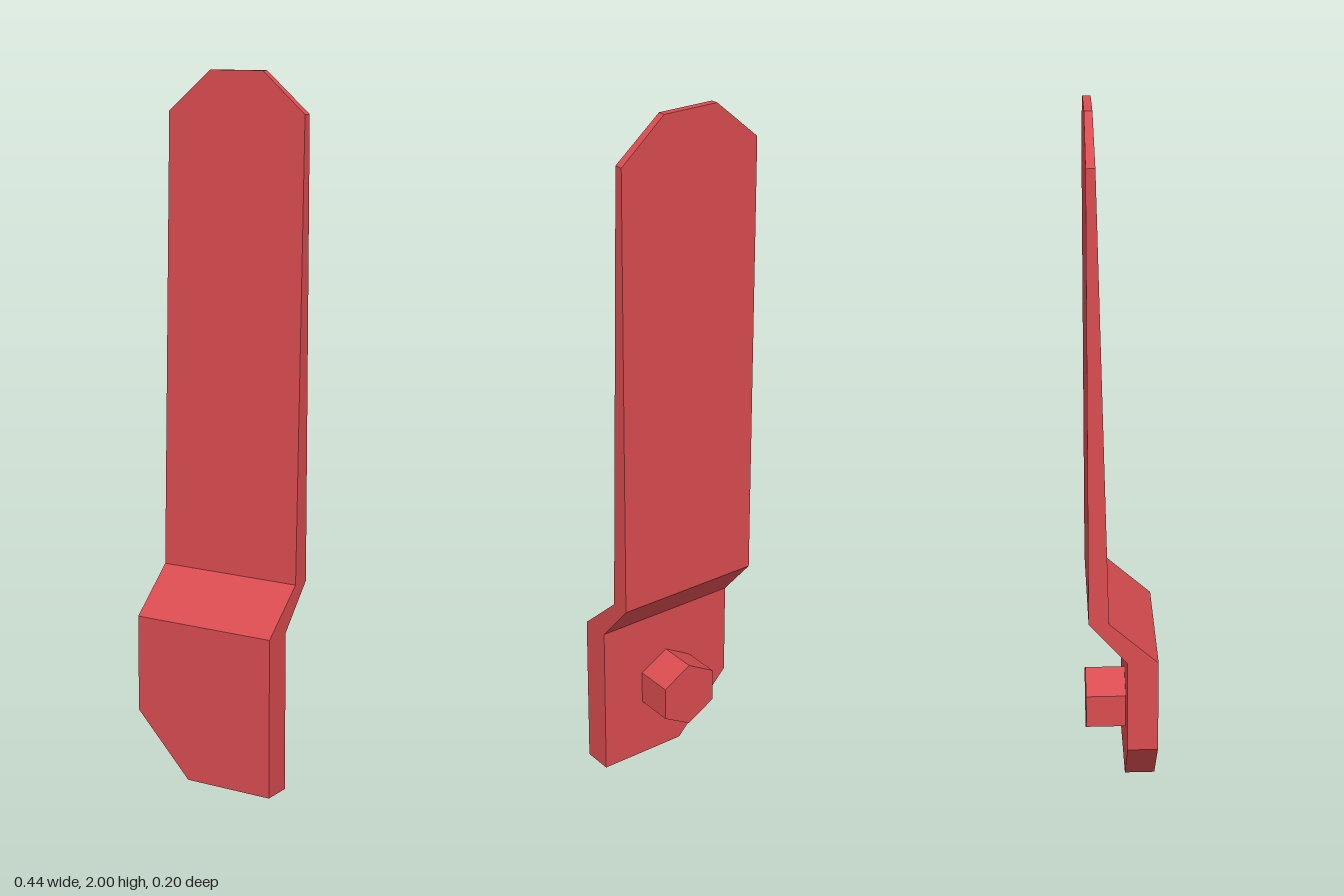
import * as THREE from 'three';

// Closed solid lofted through rectangular sections [y, left x, right x, front z, back z]
function loftSections(sections) {
  const rings = sections.map(([y, x0, x1, zf, zb]) => [
    [x0, y, zf], [x1, y, zf], [x1, y, zb], [x0, y, zb],
  ]);
  const positions = [];
  const quad = (a, b, c, d) => positions.push(...a, ...b, ...c, ...a, ...c, ...d);
  for (let i = 0; i < rings.length - 1; i++) {
    for (let k = 0; k < 4; k++) {
      const n = (k + 1) % 4;
      quad(rings[i][k], rings[i][n], rings[i + 1][n], rings[i + 1][k]);
    }
  }
  quad(...[...rings[0]].reverse());
  quad(...rings[rings.length - 1]);
  const geometry = new THREE.BufferGeometry();
  geometry.setAttribute('position', new THREE.Float32BufferAttribute(positions, 3));
  geometry.computeVertexNormals();
  return geometry;
}

export function createModel() {
  const group = new THREE.Group();
  group.name = 'crankedLever';
  const red = new THREE.MeshStandardMaterial({ color: 0xd94c50, flatShading: true });

  // Lever: base plate with one cut corner, cranked bend, tapering blade with a chamfered tip
  const w = 0.22;
  const lever = new THREE.Mesh(loftSections([
    [0, -0.05, w, 0.1, 0.013],
    [0.18, -w, w, 0.1, 0.013],
    [0.46, -w, w, 0.1, 0.013],
    [0.585, -w, w, -0.039, -0.096],
    [1.885, -w, w, -0.071, -0.096],
    [2, -0.085, 0.085, -0.074, -0.096],
  ]), red);
  lever.name = 'lever';
  group.add(lever);

  // Hexagonal boss on the back of the base plate, one corner pointing up
  const bossBack = -0.101, bossFront = 0.015;
  const boss = new THREE.Mesh(
    new THREE.CylinderGeometry(0.1, 0.1, bossFront - bossBack, 6).rotateX(Math.PI / 2), red);
  boss.position.set(0, 0.23, (bossFront + bossBack) / 2);
  boss.name = 'hexBoss';
  group.add(boss);

  return group;
}
